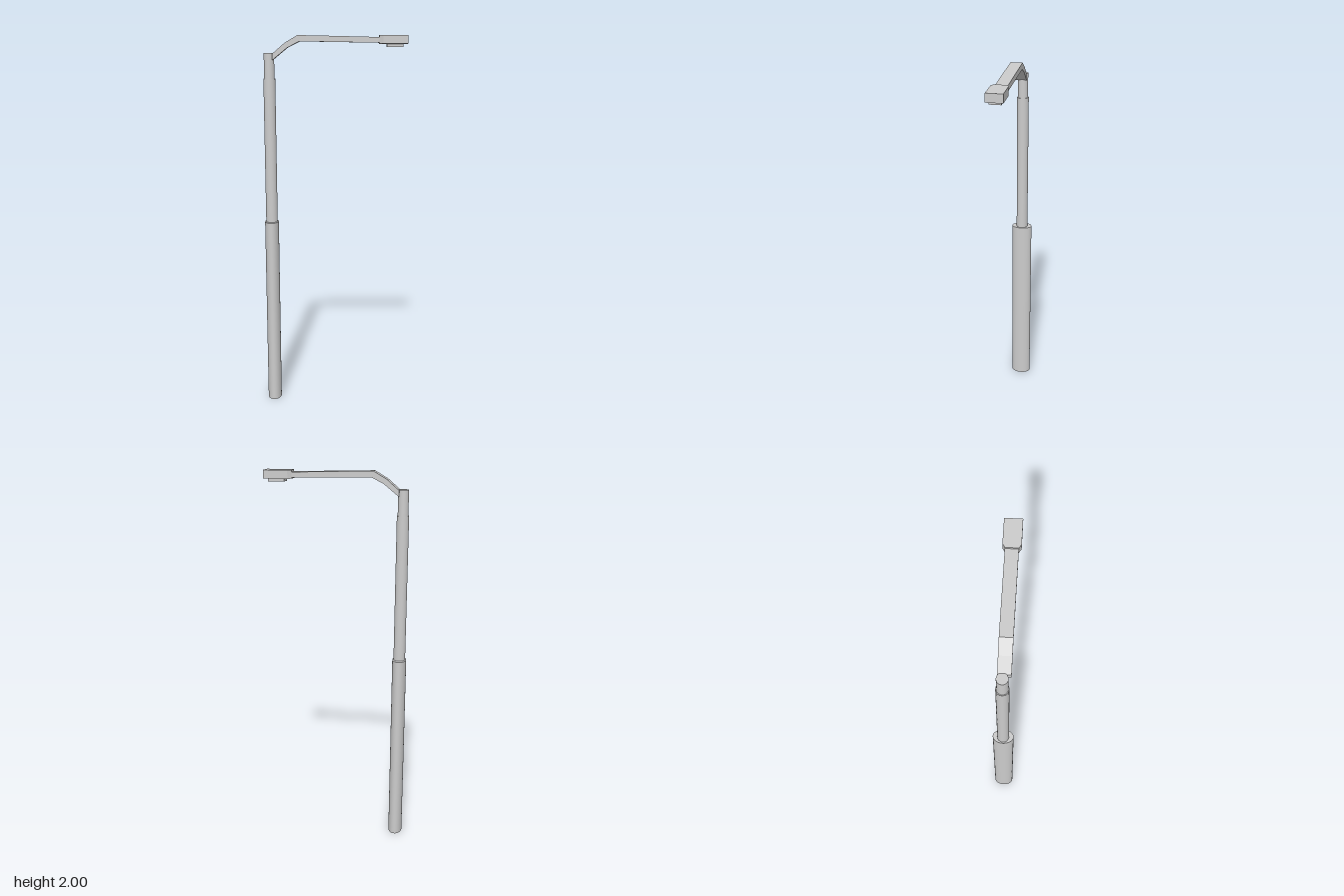
import * as THREE from 'three';

const POLE_X = -0.34;
const ARM_Z = 0.008;

export function createModel() {
  const group = new THREE.Group();
  const smooth = new THREE.MeshStandardMaterial({ color: 0xcccccc });
  const flat = new THREE.MeshStandardMaterial({ color: 0xcccccc, flatShading: true });

  function add(name, geometry, material, x = 0, y = 0, z = 0) {
    const mesh = new THREE.Mesh(geometry, material);
    mesh.name = name;
    mesh.position.set(x, y, z);
    group.add(mesh);
    return mesh;
  }

  function poleSection(name, rx, rz, y0, y1) {
    const geometry = new THREE.CylinderGeometry(1, 1, y1 - y0, 32);
    geometry.scale(rx, 1, rz);
    add(name, geometry, smooth, POLE_X, (y0 + y1) / 2, 0);
  }

  // Extrude a closed outline of [x, y] points
  function extrude(points, depth) {
    const shape = new THREE.Shape(points.map(([x, y]) => new THREE.Vector2(x, y)));
    return new THREE.ExtrudeGeometry(shape, { depth, bevelEnabled: false });
  }

  // Stepped pole: oval base sleeve, round shaft, slimmer top
  poleSection('poleBase', 0.037, 0.055, 0, 1.02);
  poleSection('poleShaft', 0.031, 0.031, 1.02, 1.78);
  poleSection('poleTop', 0.027, 0.027, 1.78, 1.91);

  // Bent arm, drawn in side profile
  const arm = extrude([
    [-0.32, 1.875], [-0.242, 1.938], [-0.18, 1.969], [0, 1.966], [0.24, 1.962],
    [0.24, 1.99], [0, 1.996], [-0.19, 2], [-0.257, 1.961], [-0.32, 1.907],
  ], 0.061);
  add('arm', arm, flat, 0, 0, ARM_Z - 0.0305);

  // Lamp head, drawn in plan with tapered shoulders
  const head = extrude([
    [0.229, -0.0305], [0.248, -0.042], [0.375, -0.042],
    [0.375, 0.042], [0.248, 0.042], [0.229, 0.0305],
  ], 0.043);
  head.rotateX(-Math.PI / 2);
  add('lampHead', head, flat, 0, 1.957, ARM_Z);

  // Lens under the head: a frame around a recessed panel
  const frame = new THREE.Shape();
  frame.moveTo(-0.042, -0.029).lineTo(0.042, -0.029).lineTo(0.042, 0.029).lineTo(-0.042, 0.029);
  const opening = new THREE.Path();
  opening.moveTo(-0.034, -0.021).lineTo(-0.034, 0.021).lineTo(0.034, 0.021).lineTo(0.034, -0.021);
  frame.holes.push(opening);
  const rim = new THREE.ExtrudeGeometry(frame, { depth: 0.016, bevelEnabled: false });
  rim.rotateX(-Math.PI / 2);
  add('lensFrame', rim, flat, 0.31, 1.942, ARM_Z);
  add('lensPanel', new THREE.BoxGeometry(0.068, 0.01, 0.042), flat, 0.31, 1.952, ARM_Z);

  return group;
}
